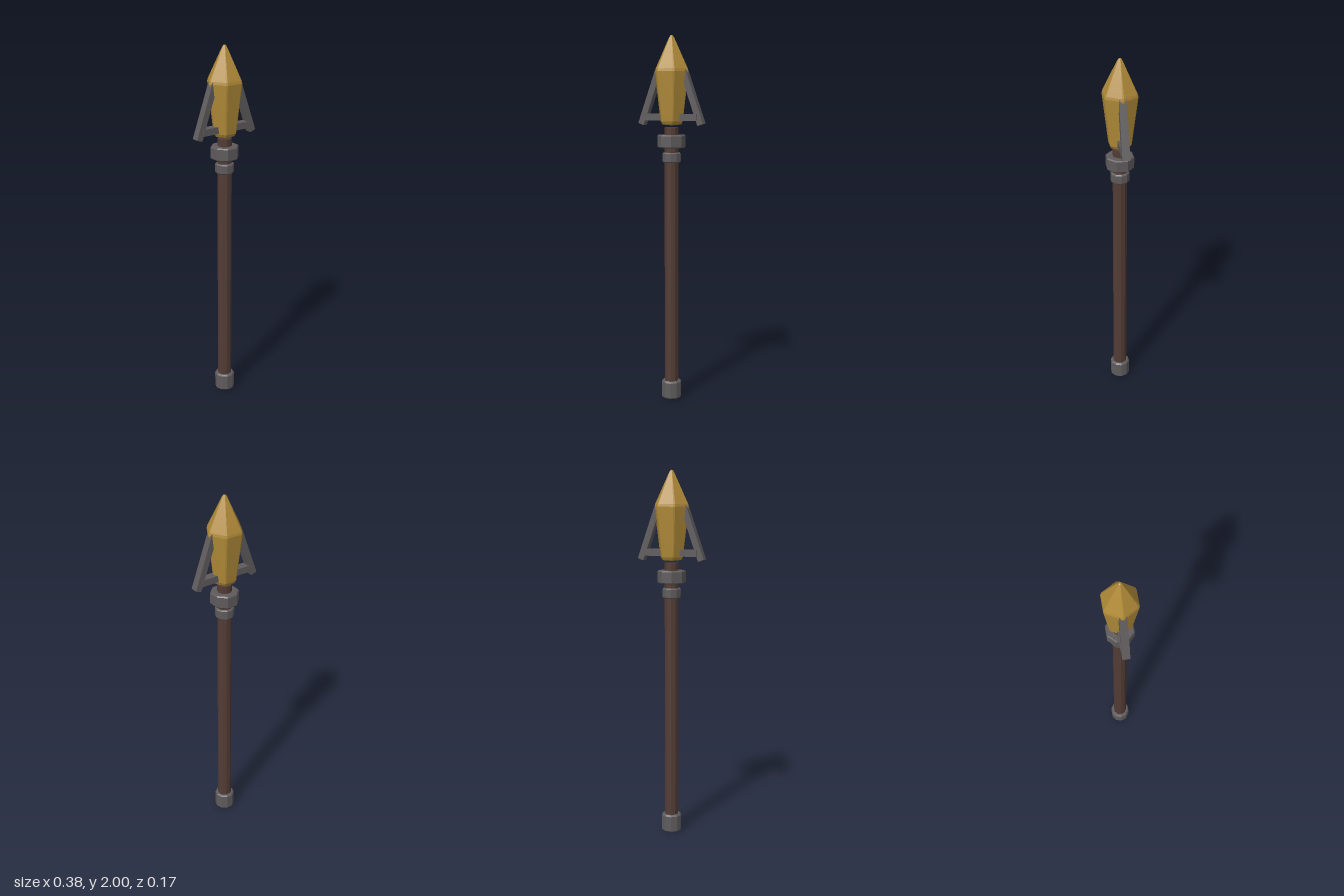
import * as THREE from 'three';
import { toCreasedNormals } from 'three/addons/utils/BufferGeometryUtils.js';

const gold = new THREE.MeshStandardMaterial({ name: 'gold', color: 0xb08a38 });
const wood = new THREE.MeshStandardMaterial({ name: 'dark wood', color: 0x533c35 });
const iron = new THREE.MeshStandardMaterial({ name: 'iron', color: 0x5f5b5d });

// Faceted solid of revolution from [radius, y] points, listed bottom to top
function turned(points, sides, start = 0) {
  const profile = points.map(([r, y]) => new THREE.Vector2(r, y));
  return toCreasedNormals(new THREE.LatheGeometry(profile, sides, start), 0.15);
}

// Collar or cap with a small bevel at both ends
function collar(radius, bottom, top, sides, start, bevel = 0.006) {
  return turned([
    [0, bottom], [radius - bevel, bottom], [radius, bottom + bevel],
    [radius, top - bevel], [radius - bevel, top], [0, top],
  ], sides, start);
}

// Six-sided spearhead with narrowly chamfered edges
function spearhead() {
  const profile = [
    [0, 1.52], [0.055, 1.526], [0.064, 1.542], [0.0955, 1.795],
    [0.0965, 1.808], [0.093, 1.822], [0.016, 1.983], [0.008, 1.996], [0, 2],
  ].map(([r, y]) => new THREE.Vector2(r, y));
  const geometry = new THREE.LatheGeometry(profile, 12);
  const pos = geometry.attributes.position;
  for (let n = 0; n < pos.count; n++) {
    const column = Math.floor(n / profile.length);
    const r = profile[n % profile.length].x;
    const degrees = 60 * Math.floor(column / 2) + 30 + (column % 2 ? 3 : -3);
    const a = THREE.MathUtils.degToRad(degrees);
    pos.setX(n, r * Math.sin(a));
    pos.setZ(n, r * Math.cos(a));
  }
  return toCreasedNormals(geometry, 0.15);
}

export function createModel() {
  const model = new THREE.Group();
  model.name = 'spear';
  const add = (name, geometry, material) => {
    const mesh = new THREE.Mesh(geometry, material);
    mesh.name = name;
    model.add(mesh);
    return mesh;
  };

  // Pole and its metal fittings
  add('shaft', turned([[0, 0.02], [0.0385, 0.02], [0.0385, 1.51], [0, 1.51]], 10, Math.PI / 2), wood);
  add('buttCap', collar(0.055, 0, 0.1, 10, Math.PI / 2, 0.008), iron);
  add('lowerCollar', collar(0.051, 1.32, 1.375, 10, Math.PI / 2), iron);
  add('upperCollar', collar(0.0765, 1.4, 1.47, 8, Math.PI / 8), iron);

  add('spearhead', spearhead(), gold);

  // Swept-back barbs, each braced to the head by a short strut
  for (const [side, label] of [[1, 'left'], [-1, 'right']]) {
    const top = new THREE.Vector2(0.073 * side, 1.81);
    const foot = new THREE.Vector2(0.174 * side, 1.526);
    const barb = add(label + 'Barb', new THREE.BoxGeometry(0.034, top.distanceTo(foot), 0.04), iron);
    barb.position.set((top.x + foot.x) / 2, (top.y + foot.y) / 2, 0);
    barb.rotation.z = Math.atan2(foot.x - top.x, top.y - foot.y);

    const strut = add(label + 'Strut', new THREE.BoxGeometry(0.122, 0.036, 0.046), iron);
    strut.position.set(0.091 * side, 1.564, 0);
  }
  return model;
}
